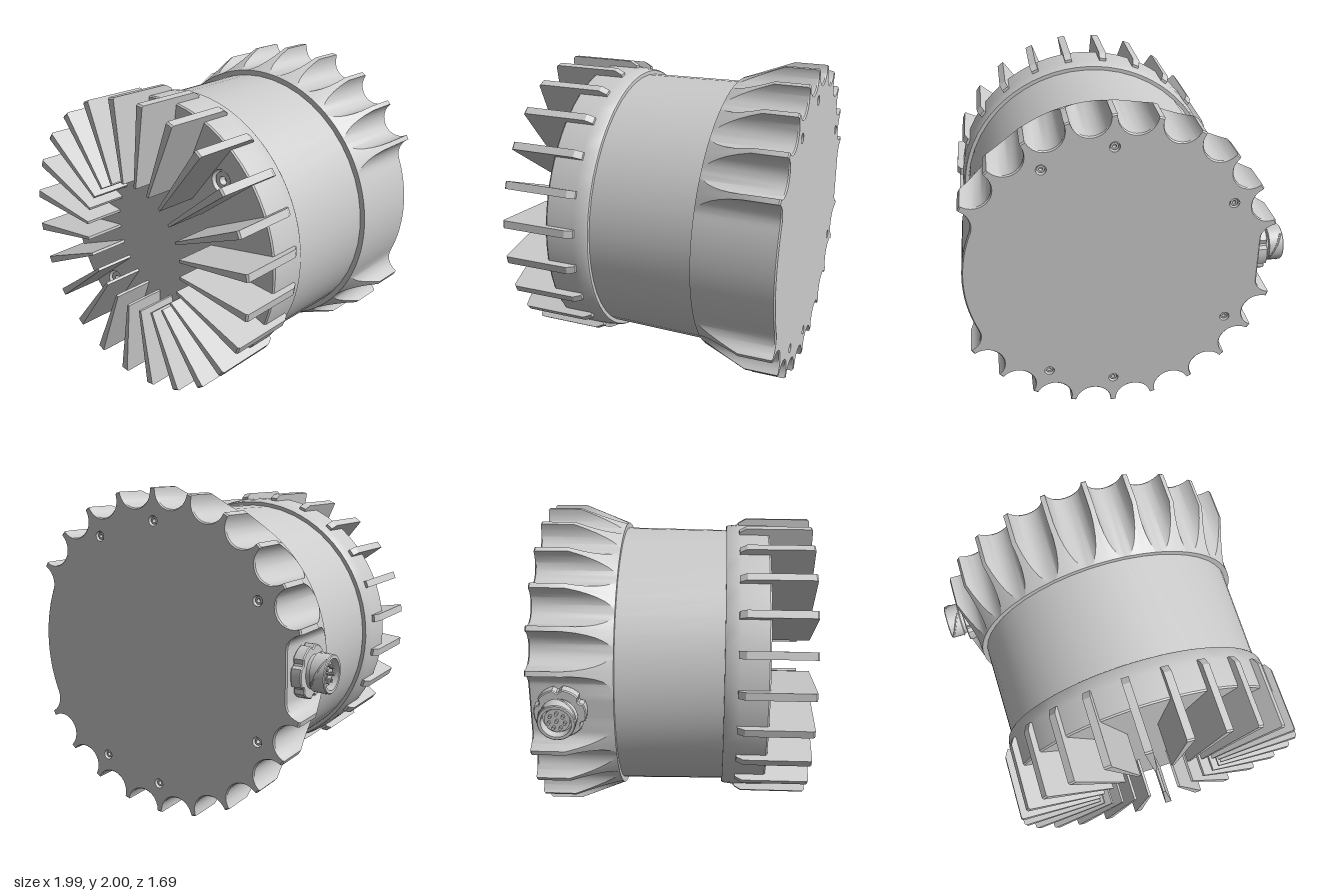
import * as THREE from 'three';
import { toCreasedNormals } from 'three/addons/utils/BufferGeometryUtils.js';

const DEG = Math.PI / 180;
const grey = new THREE.MeshStandardMaterial({ color: 0xcccccc });

function addMesh(parent, name, geometry, crease = 0.5) {
  const mesh = new THREE.Mesh(toCreasedNormals(geometry, crease), grey);
  mesh.name = name;
  parent.add(mesh);
  return mesh;
}

// Turned part about the z axis; points are [radius, z]
function turned(points, sides = 48) {
  const geo = new THREE.LatheGeometry(points.map(p => new THREE.Vector2(...p)), sides);
  return geo.rotateX(Math.PI / 2);
}

function circlePath(x, y, r) {
  return new THREE.Path().absarc(x, y, r, 0, Math.PI * 2, true);
}

// Sunken screw: pocket wall, floor, head and socket in one profile
function screw(pocketR, headR, socketR, depth, headDrop) {
  return turned([[pocketR, 0], [pocketR, -depth], [headR, -depth], [headR, -headDrop],
    [socketR, -headDrop], [socketR, -depth], [0, -depth]], 24);
}

const polar = (r, a) => [r * Math.cos(a * DEG), r * Math.sin(a * DEG)];

// --- Scalloped rear flange ---
const VALLEY = 0.887, CUT_R = 0.115, CUT_C = VALLEY + CUT_R;
const BACK = -0.84, FLARE_END = -0.63, FLARE_START = -0.34;

// Rim radius at an angle in degrees: scallops, plain +x side, flat on -x
function rimRadius(deg) {
  const a = Math.abs(((deg + 540) % 360) - 180);
  if (a < 22.5) return VALLEY;
  const t = ((a % 15) - 7.5) * DEG;
  const under = CUT_R ** 2 - (CUT_C * Math.sin(t)) ** 2;
  const r = under > 0 ? CUT_C * Math.cos(t) - Math.sqrt(under) : 1;
  const d = 180 - a;
  if (d > 15) return r;
  const flat = 0.885 / Math.cos(d * DEG);
  return d < 7.5 ? flat : Math.max(flat, r);
}

function rimAngles() {
  const half = Math.asin(CUT_R / CUT_C) / DEG, list = [], n = 14;
  for (let k = 0; k < 24; k++)
    for (let i = 0; i <= n; i++)
      list.push(k * 15 + 7.5 + (half - 0.001) * Math.sin((i / n - 0.5) * Math.PI));
  for (let k = 0; k < 24; k++) list.push(k * 15 + 0.89, k * 15 + 14.11);
  return list.sort((a, b) => a - b);
}

function flange(parent) {
  const angles = rimAngles(), pos = [];
  // Each column runs back edge, bevel, meeting with the cone, front edge, collar
  const columns = angles.map(a => {
    const s = rimRadius(a);
    const k = Math.max(0.015, (s - VALLEY) / (1 - VALLEY));
    const zMeet = FLARE_START + k * (FLARE_END - FLARE_START);
    return [[s - 0.008, BACK], [s, BACK + 0.008], [s, zMeet],
      [Math.min(s, VALLEY), FLARE_START], [0.84, FLARE_START]]
      .map(([r, z]) => [...polar(r, a), z]);
  });
  columns.forEach((c, i) => {
    const n = columns[(i + 1) % columns.length];
    for (let j = 0; j < c.length - 1; j++)
      pos.push(...c[j], ...n[j], ...n[j + 1], ...c[j], ...n[j + 1], ...c[j + 1]);
  });
  const geo = new THREE.BufferGeometry();
  geo.setAttribute('position', new THREE.Float32BufferAttribute(pos, 3));
  addMesh(parent, 'scallopedFlange', geo);

  // Back plate with screw pockets
  const shape = new THREE.Shape(columns.map(c => new THREE.Vector2(-c[0][0], c[0][1])));
  for (const a of [60, 90, 150, -60, -90, -150]) {
    const [x, y] = polar(0.81, a);
    shape.holes.push(circlePath(-x, y, 0.03));
    const s = addMesh(parent, 'backScrew', screw(0.03, 0.022, 0.011, 0.04, 0.012));
    s.rotation.y = Math.PI;
    s.position.set(x, y, BACK);
  }
  const plate = new THREE.ShapeGeometry(shape, 24).rotateY(Math.PI);
  addMesh(parent, 'backPlate', plate.translate(0, 0, BACK));
}

// --- Front head with radial cooling fins ---
function head(parent) {
  const FACE = 0.58;
  addMesh(parent, 'headRim', turned([[0.84, 0.31], [0.868, 0.31], [0.875, 0.32],
    [0.885, 0.4], [0.885, 0.57], [0.878, FACE]], 72));
  const face = new THREE.Shape().absarc(0, 0, 0.878, 0, Math.PI * 2);
  for (const a of [45, 135, 225, 315]) {
    const [x, y] = polar(0.687, a);
    face.holes.push(circlePath(x, y, 0.07));
    addMesh(parent, 'frontScrew', screw(0.07, 0.055, 0.026, 0.06, 0.015)).position.set(x, y, FACE);
  }
  addMesh(parent, 'headFace', new THREE.ShapeGeometry(face, 36).translate(0, 0, FACE));

  // Fin outline in radius and z, thinned towards the centre
  const outline = [[0.41, 0.57], [0.86, 0.57], [0.86, 0.39], [0.9, 0.39], [0.925, 0.435],
    [0.925, 0.84], [0.915, 0.85], [0.41, 0.85]];
  const fin = new THREE.ExtrudeGeometry(
    new THREE.Shape(outline.map(p => new THREE.Vector2(...p))), { depth: 1, bevelEnabled: false });
  fin.translate(0, 0, -0.5).rotateX(Math.PI / 2);
  const p = fin.attributes.position;
  for (let i = 0; i < p.count; i++)
    p.setY(i, p.getY(i) * (0.018 + 0.03 * (p.getX(i) - 0.41) / 0.515));
  for (let k = 0; k < 24; k++)
    addMesh(parent, 'coolingFin', fin, 0.1).rotation.z = (k * 15 + 7.5) * DEG;
}

// --- Side connector, built upwards then turned to -x ---
function connector(parent) {
  const g = new THREE.Group();
  g.name = 'connector';
  const lathe = (pts, sides) =>
    new THREE.LatheGeometry(pts.map(q => new THREE.Vector2(...q)), sides);

  // Notched nut
  const nut = new THREE.Shape();
  for (let i = 0; i < 48; i++) {
    const [x, y] = polar(i % 8 < 2 ? 0.13 : 0.15, i * 7.5);
    i ? nut.lineTo(x, y) : nut.moveTo(x, y);
  }
  const nutGeo = new THREE.ExtrudeGeometry(nut,
    { depth: 0.055, bevelSize: 0.006, bevelThickness: 0.006, bevelSegments: 1 });
  addMesh(g, 'connectorNut', nutGeo.rotateX(-Math.PI / 2).translate(0, 0.008, 0));

  // Hollow barrel with an insert
  addMesh(g, 'connectorBarrel', lathe([[0.1, 0], [0.1, 0.09], [0.112, 0.095], [0.112, 0.18],
    [0.107, 0.185], [0.09, 0.185], [0.09, 0.12], [0.075, 0.12], [0.075, 0.15], [0, 0.15]], 32));

  // Bayonet ramps round the barrel
  for (let k = 0; k < 3; k++) {
    const pts = [];
    for (let i = 0; i <= 8; i++) {
      const [x, z] = polar(0.11, k * 120 + i * 11);
      pts.push(new THREE.Vector3(x, 0.1 + i * 0.009, z));
    }
    addMesh(g, 'bayonetRamp',
      new THREE.TubeGeometry(new THREE.CatmullRomCurve3(pts), 16, 0.007, 6));
  }
  // Contact pins
  for (let k = 0; k < 8; k++) {
    const [x, z] = k ? polar(0.048, k * 360 / 7) : [0, 0];
    addMesh(g, 'contactPin', new THREE.CylinderGeometry(0.01, 0.01, 0.03, 10)).position.set(x, 0.16, z);
  }
  g.rotation.z = Math.PI / 2;
  g.position.set(-0.885, 0, -0.65);
  parent.add(g);
}

export function createModel() {
  const model = new THREE.Group();
  model.name = 'finnedHousing';
  model.position.set(0.07, 1, 0);
  addMesh(model, 'bodyBarrel', turned([[0.855, -0.345], [0.845, 0.315]]));
  flange(model);
  head(model);
  connector(model);
  const root = new THREE.Group();
  root.add(model);
  return root;
}
